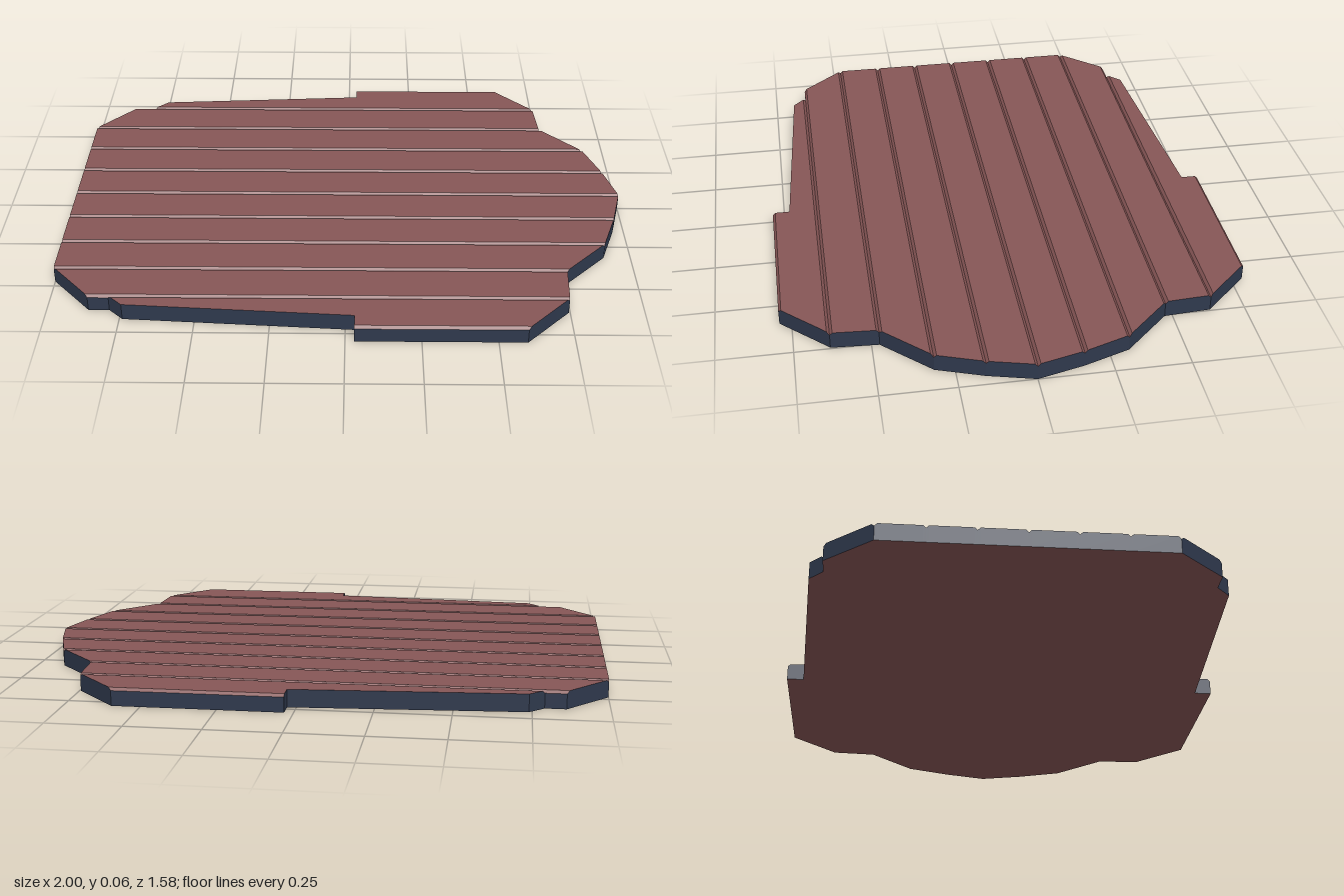
import * as THREE from 'three';

const H = 0.06;        // deck thickness
const C = 0.009;       // chamfer along plank edges
const PITCH = 0.158;   // plank width

// Outline of one half deck per plank: [z, left x, right x]
const PLANKS = [
  [[0, -1, 1], [0.158, -1, 0.96]],
  [[0.158, -1, 0.96], [0.316, -1, 0.905]],
  [[0.316, -1, 0.905], [0.474, -1, 0.755]],
  [[0.474, -1, 0.755], [0.632, -0.86, 0.745]],
  [[0.632, -0.79, 0.745], [0.68, -0.74, 0.699], [0.73, 0.03, 0.652], [0.79, 0.03, 0.595]],
];

// Collects quads, mirroring across z when s is -1
function quadMesh(name, material, quads, s) {
  const pos = [];
  for (const q of quads) {
    const [a, b, c, d] = s > 0 ? q : [...q].reverse();
    for (const [x, y, z] of [a, b, c, a, c, d]) pos.push(x, y, z * s);
  }
  const geo = new THREE.BufferGeometry();
  geo.setAttribute('position', new THREE.Float32BufferAttribute(pos, 3));
  geo.computeVertexNormals();
  const mesh = new THREE.Mesh(geo, material);
  mesh.name = name;
  return mesh;
}

// Inserts a station at z between the outline points
function insertStation(points, z) {
  const i = points.findIndex((p) => p[0] > z);
  const a = points[i - 1], b = points[i];
  const t = (z - a[0]) / (b[0] - a[0]);
  const row = [z, a[1] + (b[1] - a[1]) * t, a[2] + (b[2] - a[2]) * t];
  return [...points.slice(0, i), row, ...points.slice(i)];
}

function createPlank(index, s, wood, rim) {
  const outline = PLANKS[index];
  const z0 = index * PITCH, z1 = z0 + PITCH;
  const rows = insertStation(insertStation(outline, z0 + C), z1 - C);
  const last = rows.length - 1;
  const heightAt = (i) => (i === 0 || i === last ? H - C : H);
  const faces = [], walls = [];

  for (let i = 0; i < last; i++) {
    const [za, la, ra] = rows[i], [zb, lb, rb] = rows[i + 1];
    const ya = heightAt(i), yb = heightAt(i + 1);
    // walking surface and underside
    faces.push([[la, ya, za], [lb, yb, zb], [rb, yb, zb], [ra, ya, za]]);
    faces.push([[ra, 0, za], [rb, 0, zb], [lb, 0, zb], [la, 0, za]]);
    // plank ends
    walls.push([[rb, 0, zb], [ra, 0, za], [ra, ya, za], [rb, yb, zb]]);
    walls.push([[la, 0, za], [lb, 0, zb], [lb, yb, zb], [la, ya, za]]);
  }
  // exposed long edges
  const edge = { 3: [-0.86, -0.79], 4: [0.03, 0.595] }[index];
  if (edge) {
    const [x0, x1] = edge, y = H - C;
    walls.push([[x0, 0, z1], [x1, 0, z1], [x1, y, z1], [x0, y, z1]]);
  }

  const plank = new THREE.Group();
  plank.name = `${s > 0 ? 'front' : 'back'}Plank${index + 1}`;
  plank.add(quadMesh('plankFaces', wood, faces, s), quadMesh('plankRim', rim, walls, s));
  return plank;
}

export function createModel() {
  const wood = new THREE.MeshStandardMaterial({ color: 0x865656 });
  wood.name = 'reddish wood';
  const rim = new THREE.MeshStandardMaterial({ color: 0x2f394d });
  rim.name = 'dark blue rim';

  const deck = new THREE.Group();
  deck.name = 'plankDeck';
  for (const s of [1, -1]) {
    for (let i = 0; i < PLANKS.length; i++) deck.add(createPlank(i, s, wood, rim));
  }
  return deck;
}
